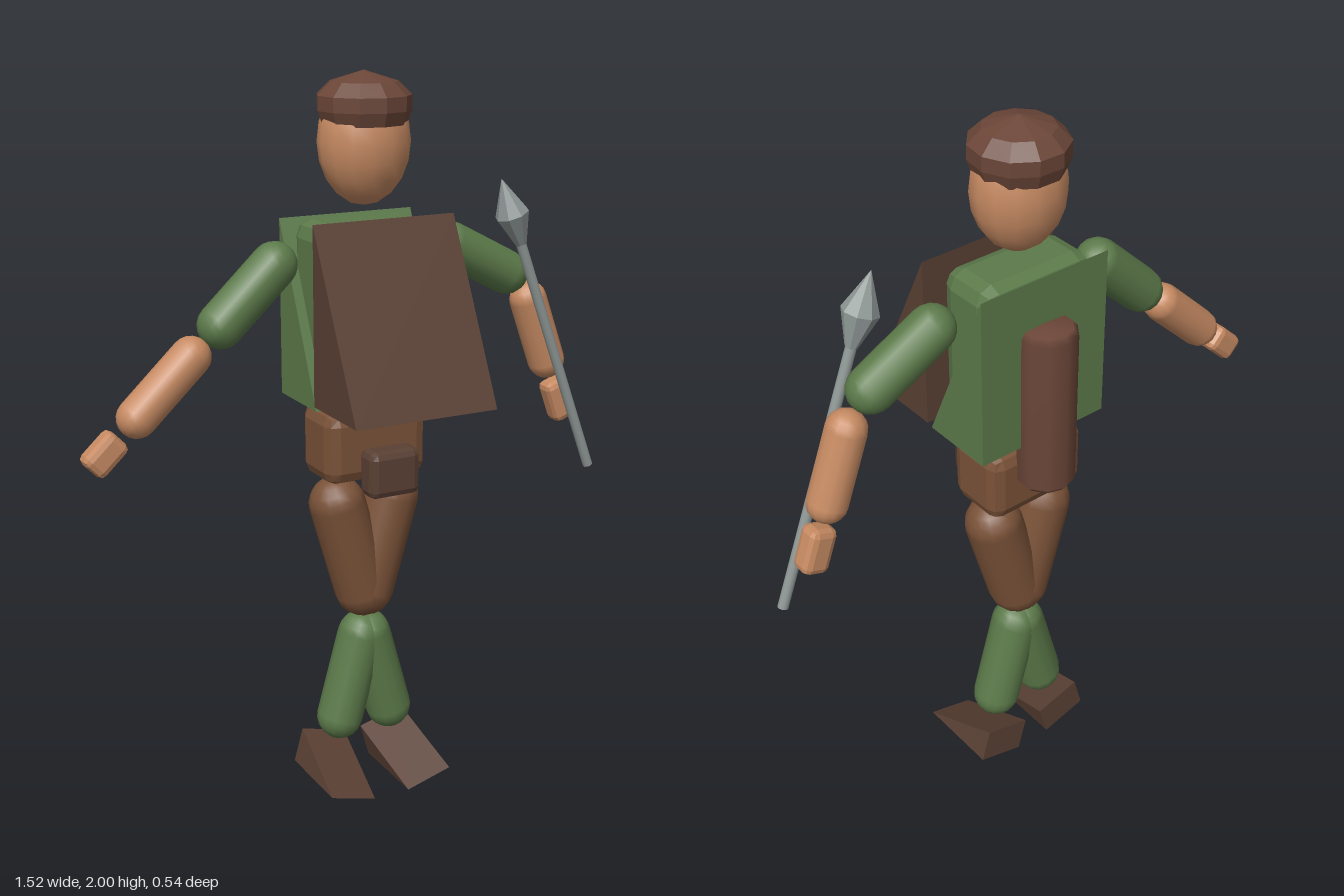
import * as THREE from 'three';
import { RoundedBoxGeometry } from 'three/addons/geometries/RoundedBoxGeometry.js';

const CX = 0.04, CZ = -0.08; // body axis
const paint = (color, flatShading = false) => new THREE.MeshStandardMaterial({ color, flatShading });
const SKIN = 0xc68a62, GREEN = 0x5c7a4a, BROWN = 0x7a5238, HAT = 0x6b4638, DARK = 0x5a4034, STEEL = 0x8f9896;

export function createModel() {
  const group = new THREE.Group();

  const add = (name, geometry, material, x = 0, y = 0, z = 0, rotZ = 0) => {
    const mesh = new THREE.Mesh(geometry, material);
    mesh.name = name;
    mesh.position.set(x, y, z);
    mesh.rotation.z = rotZ;
    group.add(mesh);
    return mesh;
  };

  // capsule between two cap centres in the body plane
  const limb = (name, [x1, y1], [x2, y2], r, color) => {
    const dx = x1 - x2, dy = y1 - y2;
    add(name, new THREE.CapsuleGeometry(r, Math.hypot(dx, dy), 5, 14), paint(color),
      (x1 + x2) / 2, (y1 + y2) / 2, CZ, -Math.atan2(dx, dy));
  };

  // box with a single flat chamfer
  const block = (name, w, h, d, bevel, color, x, y, z, rotZ = 0) =>
    add(name, new RoundedBoxGeometry(w, h, d, 1, bevel), paint(color, true), x, y, z, rotZ);

  // right-angled prism: upright face at -z, slope at +z, origin at its centre
  const wedgeGeometry = (w, h, d) => {
    const s = new THREE.Shape([
      new THREE.Vector2(-d / 2, -h / 2), new THREE.Vector2(d / 2, -h / 2), new THREE.Vector2(-d / 2, h / 2),
    ]);
    return new THREE.ExtrudeGeometry(s, { depth: w, bevelEnabled: false })
      .translate(0, 0, -w / 2).rotateY(-Math.PI / 2);
  };

  const lathe = (points, sides) =>
    new THREE.LatheGeometry(points.map(([r, y]) => new THREE.Vector2(r, y)), sides);

  // head and cap
  add('head', new THREE.SphereGeometry(1, 14, 10).scale(0.125, 0.165, 0.112), paint(SKIN), CX, 1.82, CZ);
  add('cap', lathe([[0, 1.865], [0.113, 1.865], [0.125, 1.9], [0.125, 1.938], [0.09, 1.972], [0, 2]], 11),
    paint(HAT, true), CX, 0, CZ);

  // trunk
  block('torso', 0.34, 0.47, 0.19, 0.045, GREEN, CX, 1.385, CZ);
  add('backPanel', wedgeGeometry(0.394, 0.475, 0.212), paint(GREEN, true), CX, 1.3825, -0.077);
  add('chestPanel', wedgeGeometry(0.41, 0.475, 0.237), paint(DARK, true), CX, 1.3975, 0.153);
  add('waist', new THREE.CylinderGeometry(0.08, 0.08, 0.16, 12), paint(BROWN), CX, 1.13, CZ);
  block('hips', 0.3, 0.2, 0.18, 0.035, BROWN, CX, 1.018, CZ);
  block('pouch', 0.148, 0.13, 0.078, 0.02, DARK, CX, 0.965, 0.07);

  // rolled bundle on the back
  add('backRoll', lathe([[0, 1.015], [0.065, 1.018], [0.079, 1.035], [0.079, 1.47], [0.065, 1.487], [0, 1.49]], 10),
    paint(HAT), CX, 0, -0.192);

  // legs, mirrored about the body axis
  for (const [side, s] of [['left', 1], ['right', -1]]) {
    limb(side + 'Thigh', [CX + s * 0.083, 0.84], [CX + s * 0.006, 0.575], 0.079, BROWN);
    limb(side + 'Shin', [CX + s * 0.01, 0.437], [CX + s * 0.078, 0.193], 0.066, GREEN);
    add(side + 'Foot', wedgeGeometry(0.14, 0.1, 0.245), paint(DARK, true), CX + s * 0.108, 0.069, -0.032, s * 0.27);
  }

  // right arm, held out
  limb('rightUpperArm', [-0.22, 1.52], [-0.374, 1.376], 0.061, GREEN);
  limb('rightForearm', [-0.457, 1.305], [-0.609, 1.162], 0.053, SKIN);
  block('rightHand', 0.075, 0.11, 0.065, 0.018, SKIN, -0.7, 1.08, CZ, -0.82);

  // left arm, bent down
  limb('leftUpperArm', [0.305, 1.53], [0.487, 1.435], 0.061, GREEN);
  limb('leftForearm', [0.562, 1.352], [0.63, 1.167], 0.053, SKIN);
  block('leftHand', 0.075, 0.125, 0.065, 0.018, SKIN, 0.675, 1.047, CZ, 0.35);

  // spear: origin at the foot of the shaft
  const spear = new THREE.Group();
  spear.name = 'spear';
  spear.position.set(0.748, 0.85, -0.018);
  spear.rotation.z = 0.362;
  const shaft = new THREE.Mesh(new THREE.CylinderGeometry(0.0145, 0.0145, 0.74, 10).translate(0, 0.37, 0), paint(STEEL));
  shaft.name = 'spearShaft';
  const point = new THREE.Mesh(lathe([[0, 0.72], [0.016, 0.72], [0.048, 0.81], [0, 0.915]], 8), paint(STEEL, true));
  point.name = 'spearPoint';
  spear.add(shaft, point);
  group.add(spear);

  return group;
}
